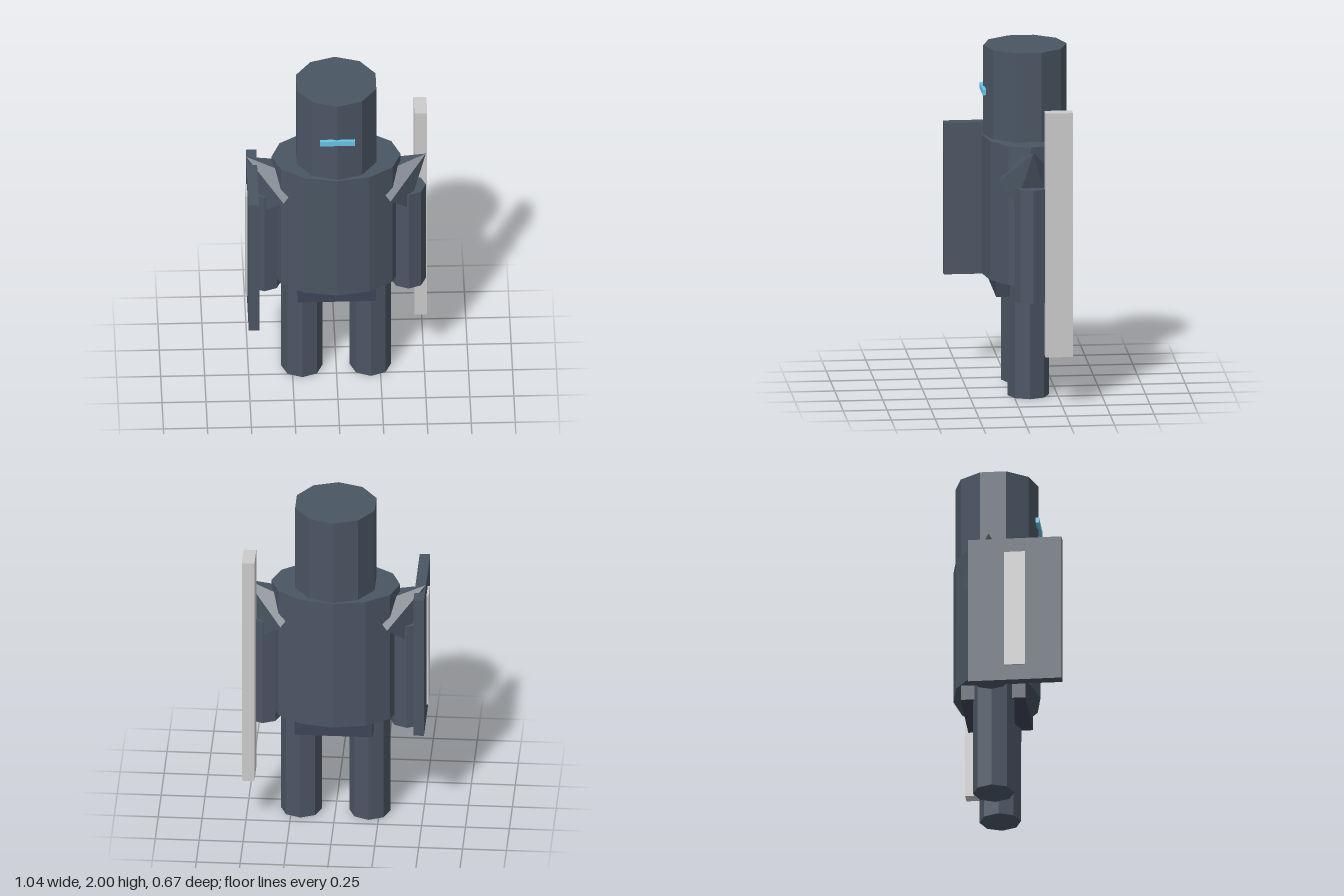
import * as THREE from 'three';

const AXIS_Z = -0.085; // depth of the figure's centre line

const material = (color) => new THREE.MeshStandardMaterial({ color, flatShading: true });

export function createModel() {
  const model = new THREE.Group();
  model.name = 'armouredFigure';

  const armour = material(0x4a5563);
  const beltMat = material(0x3d4456);
  const steel = material(0xcccccc);
  const glow = material(0x66c4e8);

  const add = (name, geometry, mat, x, y, z) => {
    const mesh = new THREE.Mesh(geometry, mat);
    mesh.name = name;
    mesh.position.set(x, y, z);
    model.add(mesh);
    return mesh;
  };

  // Box given by its low and high corners
  const box = (name, mat, [x0, y0, z0], [x1, y1, z1]) =>
    add(name, new THREE.BoxGeometry(x1 - x0, y1 - y0, z1 - z0), mat,
      (x0 + x1) / 2, (y0 + y1) / 2, (z0 + z1) / 2);

  // Upright prism between two heights
  const prism = (name, radius, sides, x, y0, y1) =>
    add(name, new THREE.CylinderGeometry(radius, radius, y1 - y0, sides), armour,
      x, (y0 + y1) / 2, AXIS_Z);

  // Head, visor slit, oval torso and belt
  prism('head', 0.238, 10, 0, 1.47, 2);
  box('visor', glow, [-0.1, 1.73, 0.145], [0.1, 1.762, 0.165]);
  prism('torso', 0.367, 12, 0, 0.67, 1.48).scale.z = 0.248 / 0.367;
  box('belt', beltMat, [-0.222, 0.58, -0.27], [0.222, 0.69, 0.1]);

  // Limbs and shoulder spikes on both sides
  for (const [side, s] of [['left', 1], ['right', -1]]) {
    prism(side + 'Leg', 0.118, 8, s * 0.195, 0, 0.69);
    prism(side + 'Arm', 0.1, 8, s * 0.41, 0.6, 1.262);
    const spike = add(side + 'ShoulderSpike', new THREE.ConeGeometry(0.176, 0.292, 6),
      armour, s * 0.407, 1.377, AXIS_Z);
    spike.rotation.z = -s * Math.PI / 4;
  }

  // Shield with a raised strip on its outer face
  box('shield', armour, [-0.51, 0.56, -0.2], [-0.45, 1.445, 0.333]);
  box('shieldStrip', steel, [-0.522, 0.65, 0.005], [-0.5, 1.356, 0.125]);

  // Blade
  box('blade', steel, [0.448, 0.29, -0.31], [0.52, 1.713, -0.153]);

  return model;
}
